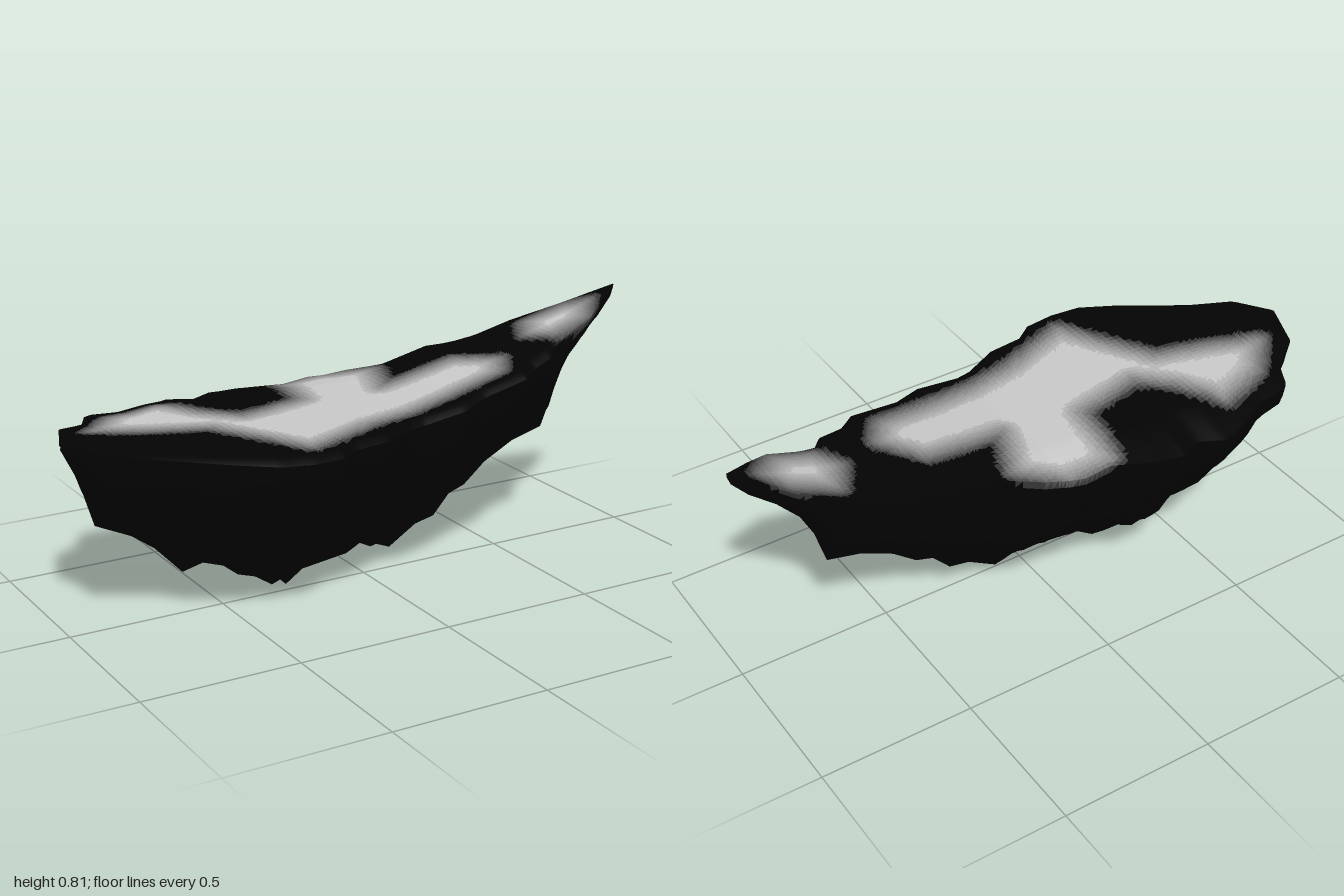
import * as THREE from 'three';

// Outline curves along the length: [x, value]
const TOP = [[-1, .59], [-.93, .594], [-.8, .584], [-.5, .577], [-.3, .574], [.05, .58], [.2, .6], [.5, .65], [.7, .7], [.85, .75], [1, .81]];
const BOTTOM = [[-1, .58], [-.95, .48], [-.925, .42], [-.9, .325], [-.785, .27], [-.71, .215], [-.62, .12], [-.55, .135], [-.48, .11],
  [-.43, .07], [-.37, .05], [-.31, .01], [-.28, .02], [-.26, 0], [-.2, .04], [-.04, .06], [.01, .085], [.05, .065], [.07, .07], [.12, .05],
  [.22, .11], [.29, .125], [.35, .19], [.41, .21], [.49, .275], [.6, .33], [.715, .36], [.75, .48], [.79, .56], [.86, .64], [.94, .71],
  [.99, .77], [1, .8]];
const FRONT = [[-1, .005], [-.92, .12], [-.8, .2], [-.6, .345], [-.5, .405], [-.4, .42], [-.3, .41], [-.24, .365], [-.12, .35], [0, .29],
  [.05, .28], [.2, .275], [.3, .23], [.47, .21], [.53, .16], [.62, .13], [.66, .08], [.73, .06], [.83, .045], [.91, 0], [1, -.058]];
const BACK = [[-1, -.005], [-.94, -.16], [-.84, -.23], [-.8, -.31], [-.77, -.33], [-.68, -.335], [-.57, -.39], [-.48, -.42], [-.4, -.38],
  [-.33, -.415], [-.24, -.4], [-.1, -.345], [0, -.36], [.12, -.325], [.23, -.27], [.4, -.278], [.45, -.265], [.55, -.255], [.7, -.225],
  [.85, -.15], [1, -.062]];
const KEEL = [[-1, 0], [-.9, -.015], [-.26, -.04], [.1, -.042], [.72, -.055], [1, -.06]];

// How far the rounded rim sinks below the ground: [x, drop]
const FRONT_DROP = [[-1, 0], [-.8, .01], [-.4, .02], [.45, .02], [.62, .026], [.72, .015], [.85, .002], [1, 0]];
const BACK_DROP = [[-1, 0], [-.85, .02], [-.5, .038], [-.3, .032], [0, .02], [.25, .012], [.4, .006], [.57, .022], [.7, .012], [1, 0]];

// Half cross-sections of the rock: [depth, width], both as fractions
const FRONT_SIDE = [[0, 1], [.05, .985], [.18, .92], [.3, .83], [.45, .72], [.6, .52], [.75, .37], [.81, .25], [1, 0]];
const BACK_SIDE = [[0, 1], [.05, 1], [.2, .97], [.3, .86], [.45, .77], [.57, .69], [.66, .58], [.75, .38], [.9, .16], [1, 0]];

// Pale patches of bare ground: [x, z]
const PATCHES = [
  [[-.86, -.1], [-.75, -.22], [-.58, -.28], [-.5, -.14], [-.4, -.04], [-.16, -.1], [-.12, -.33], [.04, -.34], [.18, -.25], [.1, -.06],
    [.38, -.09], [.48, .03], [.42, .12], [.2, .16], [-.1, .22], [-.36, .32], [-.42, .2], [-.53, .02], [-.72, -.04]],
  [[.65, -.05], [.71, -.15], [.84, -.12], [.89, -.06], [.82, .02], [.7, .02]],
];

const sample = (curve, x) => {
  let i = 1;
  while (i < curve.length - 1 && x > curve[i][0]) i++;
  const [x0, a] = curve[i - 1], [x1, b] = curve[i];
  return a + (b - a) * (x - x0) / (x1 - x0);
};

// Signed distance to a polygon, negative inside
function polygonDistance(poly, x, z) {
  let best = Infinity, inside = false;
  poly.forEach(([ax, az], i) => {
    const [bx, bz] = poly[(i + 1) % poly.length];
    const dx = bx - ax, dz = bz - az;
    const t = THREE.MathUtils.clamp(((x - ax) * dx + (z - az) * dz) / (dx * dx + dz * dz), 0, 1);
    best = Math.min(best, Math.hypot(x - ax - dx * t, z - az - dz * t));
    if ((az > z) !== (bz > z) && x < ax + dx * (z - az) / dz) inside = !inside;
  });
  return inside ? -best : best;
}

// How pale a point is, 0 to 1, fading quickly below the rim
function paleness([x, y, z]) {
  const d = Math.min(...PATCHES.map(p => polygonDistance(p, x, z)));
  const below = Math.max(0, sample(TOP, x) - y - .02);
  return THREE.MathUtils.clamp(.38 - (d + below * 4) / .13, 0, 1);
}

const LEVELS = 16;
const shades = Array.from({ length: LEVELS + 1 }, (_, i) => new THREE.MeshStandardMaterial({
  color: new THREE.Color(0x030303).lerp(new THREE.Color(0xcccccc), i / LEVELS),
}));

// Skin the rows of points, one mesh per shade, sharing smooth normals
function skin(name, rows) {
  const group = new THREE.Group();
  group.name = name;
  const n = rows[0].length, points = rows.flat(), tone = points.map(paleness);
  const all = [], byShade = shades.map(() => []);
  const face = (...tri) => {
    all.push(...tri);
    const mean = tri.reduce((s, v) => s + tone[v], 0) / 3;
    byShade[Math.round(mean * LEVELS)].push(...tri);
  };
  for (let i = 0; i < rows.length - 1; i++) {
    for (let j = 0; j < n - 1; j++) {
      const a = i * n + j, b = a + n;
      face(a, a + 1, b);
      face(b, a + 1, b + 1);
    }
  }
  const whole = new THREE.BufferGeometry();
  whole.setAttribute('position', new THREE.Float32BufferAttribute(points.flat(), 3));
  whole.setIndex(all);
  whole.computeVertexNormals();
  byShade.forEach((index, i) => {
    if (!index.length) return;
    const part = new THREE.BufferGeometry();
    part.setAttribute('position', whole.attributes.position);
    part.setAttribute('normal', whole.attributes.normal);
    part.setIndex(index);
    const mesh = new THREE.Mesh(part, shades[i]);
    mesh.name = `${name}Shade${i}`;
    group.add(mesh);
  });
  return group;
}

export function createModel() {
  const model = new THREE.Group();
  model.name = 'floatingRock';

  // Stations along the length, including every corner of the outlines
  const stations = new Set([TOP, BOTTOM, FRONT, BACK].flat().map(p => p[0]));
  for (let i = 0; i <= 100; i++) stations.add(Math.round((i / 50 - 1) * 1000) / 1000);
  const xs = [...stations].sort((a, b) => a - b);

  // Underside: a keeled section at each station, front rim to back rim
  const underside = xs.map(x => {
    const top = sample(TOP, x), bottom = sample(BOTTOM, x), keel = sample(KEEL, x);
    const side = (profile, rim, drop) => profile.map(([d, w]) => [
      x, THREE.MathUtils.lerp(top - drop, bottom, d), keel + (rim - keel) * w]);
    return [
      ...side(FRONT_SIDE, sample(FRONT, x), sample(FRONT_DROP, x)),
      ...side(BACK_SIDE, sample(BACK, x), sample(BACK_DROP, x)).reverse().slice(1),
    ];
  });
  model.add(skin('rockUnderside', underside));

  // Ground: gently curved top rounding down to both rims, back to front
  const ACROSS = 44;
  const ground = xs.map(x => {
    const front = sample(FRONT, x), back = sample(BACK, x);
    return Array.from({ length: ACROSS + 1 }, (_, j) => {
      const z = back + (front - back) * j / ACROSS;
      const sinkFront = sample(FRONT_DROP, x) * Math.max(0, 1 - (front - z) / .05) ** 2;
      const sinkBack = sample(BACK_DROP, x) * Math.max(0, 1 - (z - back) / .16) ** 1.3;
      return [x, sample(TOP, x) - Math.max(sinkFront, sinkBack), z];
    });
  });
  model.add(skin('ground', ground));

  return model;
}
